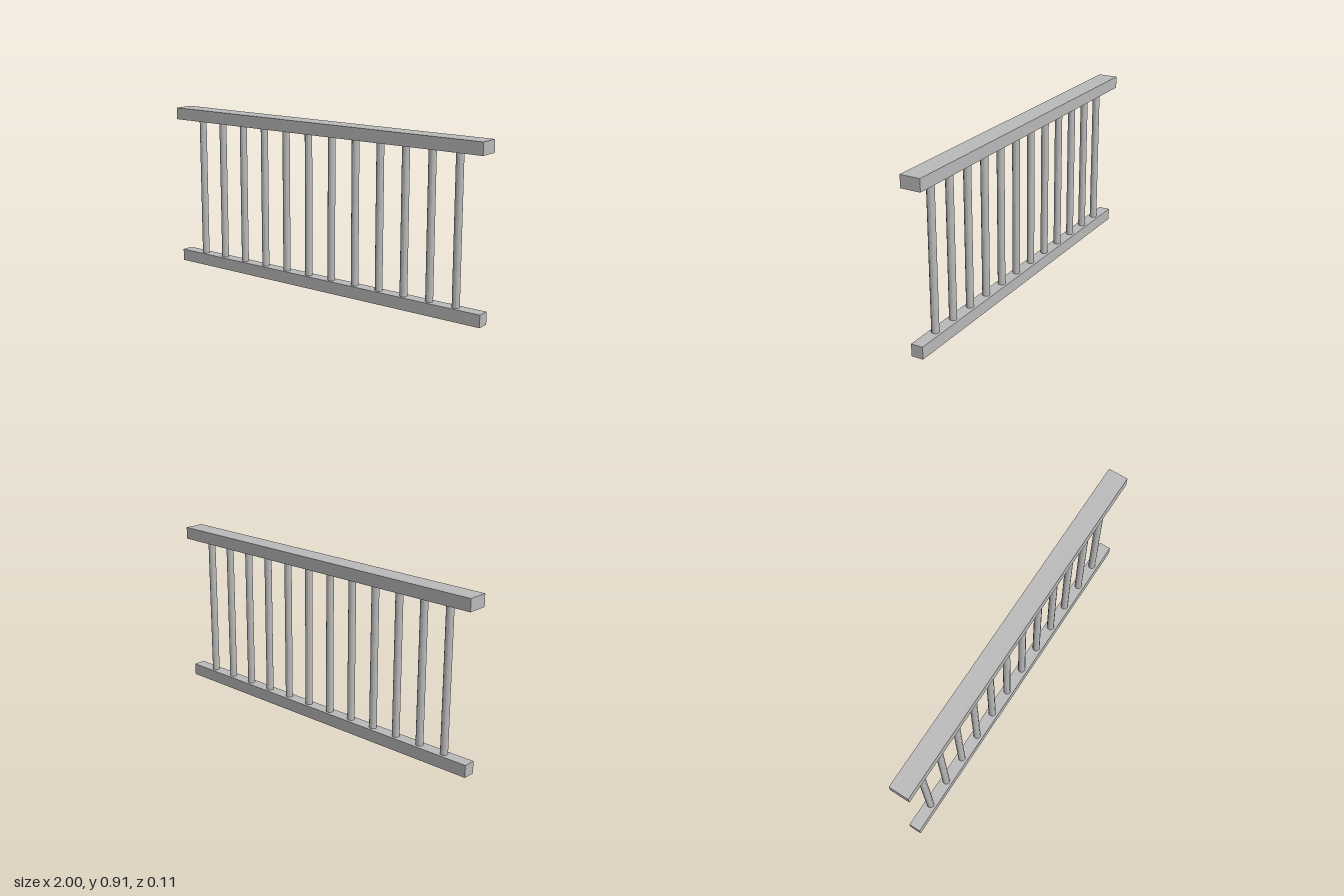
import * as THREE from 'three';

export function createModel() {
  const model = new THREE.Group();
  model.name = 'railing';

  const paint = new THREE.MeshStandardMaterial({ color: 0xbababa, flatShading: true });
  paint.name = 'light grey';

  const length = 2, railHeight = 0.066, totalHeight = 0.912;

  // Horizontal rails: narrow at the bottom, wide handrail at the top
  function addRail(name, bottom, depth) {
    const rail = new THREE.Mesh(new THREE.BoxGeometry(length, railHeight, depth), paint);
    rail.name = name;
    rail.position.y = bottom + railHeight / 2;
    model.add(rail);
  }
  addRail('bottomRail', 0, 0.066);
  addRail('handrail', totalHeight - railHeight, 0.11);

  // Evenly spaced round balusters between the rails
  const count = 12, spacing = length / (count + 1);
  const balusterHeight = totalHeight - 2 * railHeight;
  const balusterGeometry = new THREE.CylinderGeometry(0.02, 0.02, balusterHeight, 12);
  const balusters = new THREE.Group();
  balusters.name = 'balusters';
  for (let i = 0; i < count; i++) {
    const baluster = new THREE.Mesh(balusterGeometry, paint);
    baluster.name = `baluster${i + 1}`;
    baluster.position.set((i - (count - 1) / 2) * spacing, totalHeight / 2, 0);
    balusters.add(baluster);
  }
  model.add(balusters);

  return model;
}
